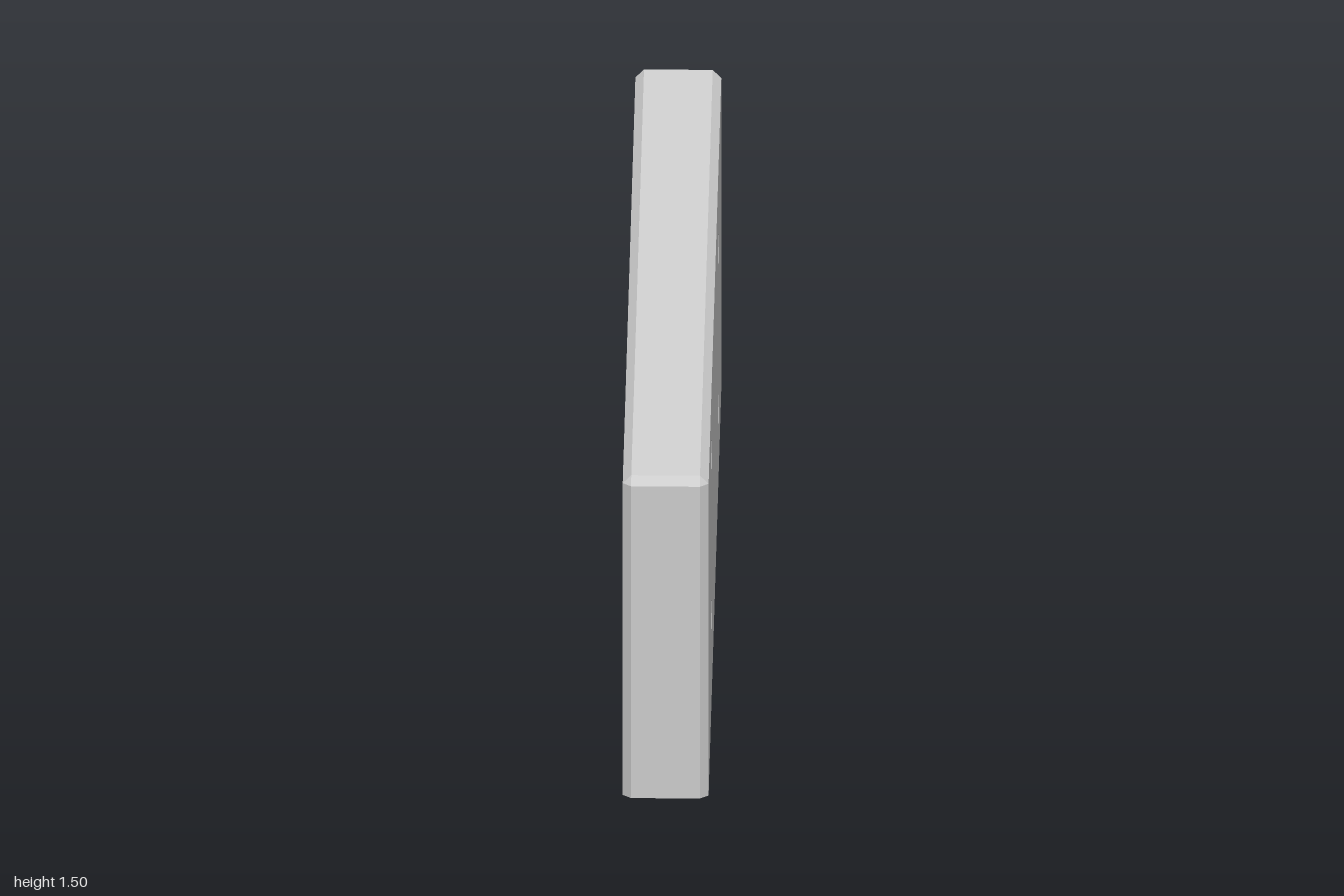
import * as THREE from 'three';

const HALF_X = 0.125, HALF_Z = 1, BEVEL = 0.025, HEIGHT = 1;
const HOLE_R = 0.05, HOLE_DEPTH = 0.05, HOLE_SIDES = 7;
const X = HALF_X - BEVEL, Z = HALF_Z - BEVEL;

const material = new THREE.MeshStandardMaterial({ color: 0xcccccc, flatShading: true });
const wallMaterial = new THREE.MeshStandardMaterial({ color: 0xcccccc, flatShading: true, side: THREE.DoubleSide });

// Height of the slanted underside; it levels out across the end bevels.
const lift = (z) => 0.25 - 0.25 * THREE.MathUtils.clamp(z / Z, -1, 1);

function addMesh(parent, name, geometry, mat = material) {
  const mesh = new THREE.Mesh(geometry, mat);
  mesh.name = name;
  parent.add(mesh);
  return mesh;
}

// Bevelled ends, top and underside, leaving the two broad faces open.
function shellGeometry() {
  const outline = [
    [X, HALF_Z], [HALF_X, Z], [HALF_X, -Z], [X, -HALF_Z],
    [-X, -HALF_Z], [-HALF_X, -Z], [-HALF_X, Z], [-X, HALF_Z],
  ];
  const bottom = outline.map(([x, z]) => [x, lift(z), z]);
  const shoulder = outline.map(([x, z]) => [x, lift(z) + HEIGHT - BEVEL, z]);
  const top = outline.map(([x, z]) => [Math.sign(x) * X, lift(z) + HEIGHT, Math.sign(z) * Z]);
  const points = [];
  const tri = (a, b, c) => points.push(...a, ...b, ...c);
  const quad = (a, b, c, d) => { tri(a, b, c); tri(a, c, d); };

  for (let i = 0; i < 8; i++) {
    const j = (i + 1) % 8;
    const broadFace = i === 1 || i === 5;
    if (!broadFace) quad(bottom[i], bottom[j], shoulder[j], shoulder[i]);
    // Corner bevels meet at one point on top, so they are single triangles.
    if (i % 2) quad(shoulder[i], shoulder[j], top[j], top[i]);
    else tri(shoulder[i], shoulder[j], top[i]);
  }
  quad(top[0], top[2], top[4], top[6]);
  quad(bottom[0], bottom[7], bottom[6], bottom[1]);
  quad(bottom[1], bottom[6], bottom[5], bottom[2]);
  quad(bottom[2], bottom[5], bottom[4], bottom[3]);

  const geometry = new THREE.BufferGeometry();
  geometry.setAttribute('position', new THREE.Float32BufferAttribute(points, 3));
  geometry.computeVertexNormals();
  return geometry;
}

// One broad face with four blind bolt holes, drawn in its own plane.
function broadSide(side) {
  const group = new THREE.Group();
  group.name = side > 0 ? 'leftSide' : 'rightSide';
  const u = (z) => -side * z;
  const wall = HEIGHT - BEVEL;
  const face = new THREE.Shape([
    new THREE.Vector2(u(Z), lift(Z)),
    new THREE.Vector2(u(-Z), lift(-Z)),
    new THREE.Vector2(u(-Z), lift(-Z) + wall),
    new THREE.Vector2(u(Z), lift(Z) + wall),
  ]);

  for (const z of [0.5, -0.5]) {
    for (const rise of [0, 0.5]) {
      const cx = u(z), cy = 0.5 - 0.25 * z + rise;
      const rim = [];
      for (let i = 0; i < HOLE_SIDES; i++) {
        const a = Math.PI / 2 + (i / HOLE_SIDES) * Math.PI * 2;
        rim.push(new THREE.Vector2(cx + HOLE_R * Math.cos(a), cy + HOLE_R * Math.sin(a)));
      }
      face.holes.push(new THREE.Path(rim));

      const bore = new THREE.CylinderGeometry(HOLE_R, HOLE_R, HOLE_DEPTH, HOLE_SIDES, 1, true);
      bore.rotateX(-Math.PI / 2).translate(cx, cy, -HOLE_DEPTH / 2);
      addMesh(group, 'holeWall', bore, wallMaterial);
      const floor = new THREE.CircleGeometry(HOLE_R, HOLE_SIDES, Math.PI / 2);
      addMesh(group, 'holeFloor', floor.translate(cx, cy, -HOLE_DEPTH));
    }
  }
  addMesh(group, 'broadFace', new THREE.ShapeGeometry(face));
  group.rotation.y = side * Math.PI / 2;
  group.position.x = side * HALF_X;
  return group;
}

export function createModel() {
  const model = new THREE.Group();
  model.name = 'slantedPlate';
  addMesh(model, 'bevelledShell', shellGeometry());
  model.add(broadSide(1), broadSide(-1));
  return model;
}
